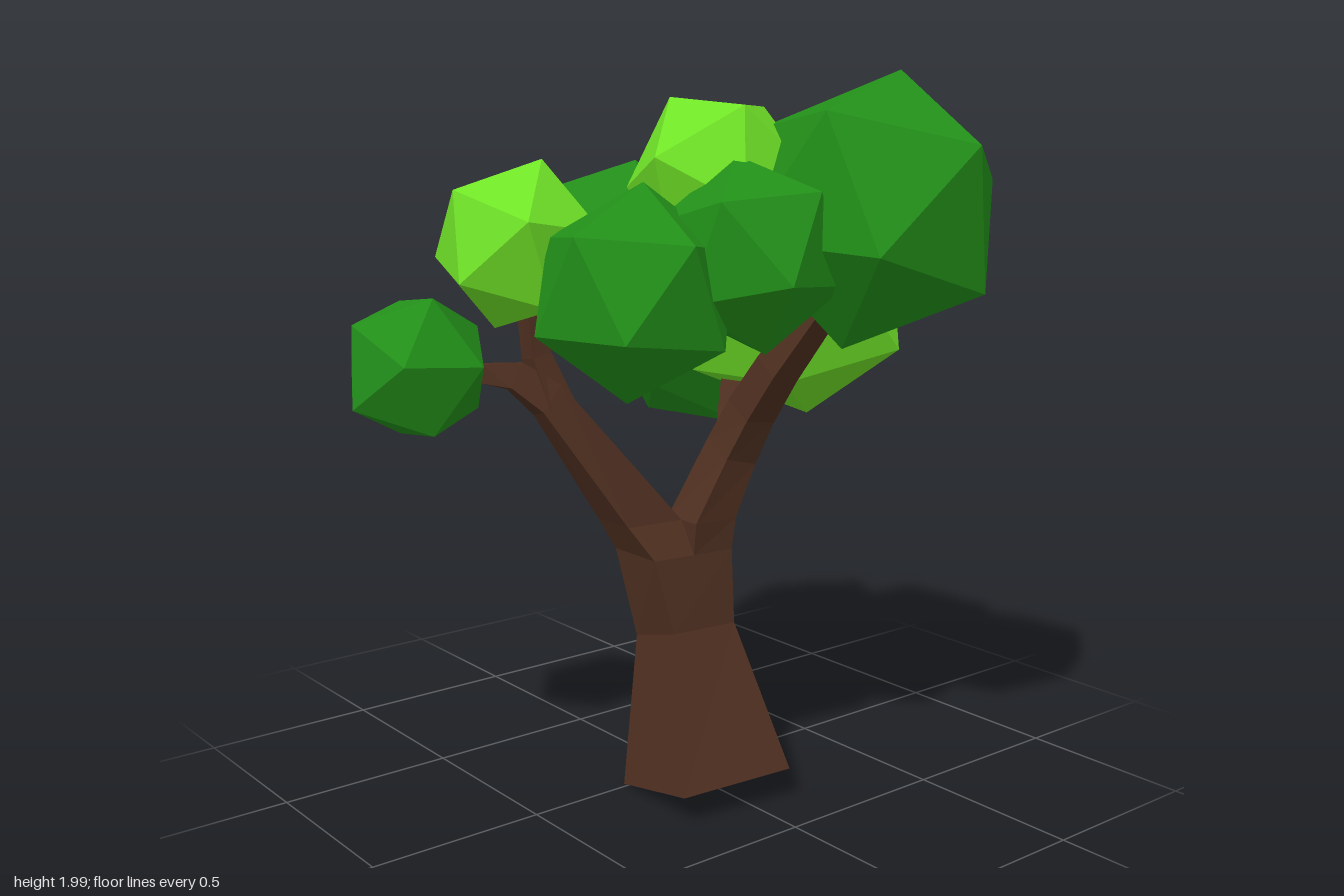
import * as THREE from 'three';

const V = (a) => new THREE.Vector3(...a);
const mat = (color) => new THREE.MeshStandardMaterial({ color, flatShading: true });

// orthonormal frame whose first axis is a and whose second leans towards b
function frame(a, b) {
  const e1 = V(a).normalize();
  const e2 = V(b).addScaledVector(e1, -V(b).dot(e1)).normalize();
  return new THREE.Matrix4().makeBasis(e1, e2, e1.clone().cross(e2));
}

// square ring of four corners around a point, perpendicular to the direction
function ring(center, dir, half) {
  const t = dir.clone().normalize();
  const u = new THREE.Vector3(1, 0, 0).addScaledVector(t, -t.x).normalize();
  const v = t.clone().cross(u);
  return [[-1, -1], [1, -1], [1, 1], [-1, 1]].map(([a, b]) =>
    center.clone().addScaledVector(u, a * half).addScaledVector(v, b * half));
}

// closed four-sided skin through a list of rings
function loft(rings) {
  const pos = [];
  const quad = (a, b, c, d) => [a, b, c, a, c, d].forEach((p) => pos.push(p.x, p.y, p.z));
  for (let r = 0; r < rings.length - 1; r++) {
    const lo = rings[r], hi = rings[r + 1];
    for (let i = 0; i < 4; i++) {
      const j = (i + 1) % 4;
      quad(lo[i], lo[j], hi[j], hi[i]);
    }
  }
  const s = rings[0], e = rings[rings.length - 1];
  quad(s[3], s[2], s[1], s[0]);
  quad(e[0], e[1], e[2], e[3]);
  const g = new THREE.BufferGeometry();
  g.setAttribute('position', new THREE.Float32BufferAttribute(pos, 3));
  g.computeVertexNormals();
  return g;
}

// tapering branch along points [x, y, z, half width], growing out of optional root rings
function branch(path, roots = []) {
  const pts = path.map((p) => V(p.slice(0, 3)));
  const rings = pts.map((p, i) => {
    const dir = pts[Math.min(i + 1, pts.length - 1)].clone().sub(pts[Math.max(i - 1, 0)]);
    return ring(p, dir, path[i][3]);
  });
  return loft([...roots.map((r) => r.map(V)), ...rings]);
}

export function createModel() {
  const model = new THREE.Group();
  model.name = 'tree';
  const bark = mat(0x4e2f20), dark = mat(0x228f19), light = mat(0x70e427);
  const add = (name, geometry, material) => {
    const mesh = new THREE.Mesh(geometry, material);
    mesh.name = name;
    model.add(mesh);
    return mesh;
  };

  // leaning trunk with a tilted, flared foot
  add('trunk', loft([
    [[-0.015, 0, 0.19], [0.31, 0.08, 0.23], [0.355, 0.09, -0.11], [0.01, 0, -0.15]],
    [[-0.03, 0.43, 0.13], [0.14, 0.475, 0.13], [0.16, 0.475, -0.07], [-0.02, 0.43, -0.07]],
    [[-0.08, 0.68, 0.165], [0.1, 0.68, 0.165], [0.13, 0.68, -0.085], [-0.04, 0.68, -0.085]],
  ].map((r) => r.map(V))), bark);

  // fork: each main branch grows from half of the trunk top
  add('frontBranch', branch([
    [-0.12, 1.12, 0.36, 0.046], [-0.16, 1.19, 0.44, 0.038], [-0.2, 1.2, 0.52, 0.025]], [
    [[-0.08, 0.68, 0.165], [0.1, 0.68, 0.165], [0.115, 0.68, 0.04], [-0.06, 0.68, 0.04]],
    [[-0.1, 0.77, 0.21], [0.04, 0.77, 0.21], [0.06, 0.77, 0.04], [-0.06, 0.77, 0.04]]]), bark);
  add('backBranch', branch([
    [0.095, 0.95, -0.11, 0.054], [0.145, 1.07, -0.14, 0.05],
    [0.24, 1.2, -0.15, 0.045], [0.4, 1.42, -0.2, 0.035]], [
    [[-0.06, 0.68, 0.04], [0.115, 0.68, 0.04], [0.13, 0.68, -0.085], [-0.04, 0.68, -0.085]],
    [[0, 0.77, 0.04], [0.125, 0.77, 0.04], [0.135, 0.77, -0.095], [0, 0.77, -0.095]]]), bark);

  // smaller side shoots
  add('frontBranchTip', branch([
    [-0.11, 1.1, 0.34, 0.04], [-0.14, 1.24, 0.38, 0.03], [-0.16, 1.4, 0.39, 0.025]]), bark);
  add('sideBranch', branch([
    [0.11, 0.98, -0.12, 0.045], [0, 1.03, -0.2, 0.036], [-0.19, 1.08, -0.36, 0.03]]), bark);

  // foliage: name, material, centre, radius, a corner direction, a neighbouring corner direction
  const source = frame([0, 1, 1.618], [0, -1, 1.618]).transpose();
  const foliage = [
    ['foliageLargeLeft', dark, [0.44, 1.635, -0.295], 0.376, [-0.01, 0.365, -0.11], [0.33, 0.155, -0.04]],
    ['foliageBack', light, [-0.09, 1.337, -0.5], 0.364, [0, 0.35, 0.07], [0.18, 0.25, -0.25]],
    ['foliageBackRight', dark, [-0.46, 1.207, -0.46], 0.322, [-0.155, 0.275, 0.025], [-0.3, -0.02, -0.06]],
    ['foliageMiddleRight', dark, [-0.255, 1.445, 0.02], 0.325, [-0.29, -0.05, -0.1], [-0.18, 0.23, 0.1]],
    ['foliageFront', dark, [0.222, 1.437, 0.32], 0.28, [0.01, -0.28, 0.035], [0.2, -0.1, 0.18]],
    ['foliageMiddleLeft', dark, [0.365, 1.53, 0.06], 0.257, [0.06, -0.24, 0], [0.235, -0.1, 0.065]],
    ['foliageTop', light, [0.15, 1.71, -0.012], 0.252, [-0.11, 0.22, 0.08], [0.15, 0.2, 0.045]],
    ['foliageFrontRight', light, [-0.16, 1.54, 0.42], 0.237, [0.06, 0.225, -0.04], [-0.05, 0.06, 0.22]],
    ['foliageSmall', dark, [-0.31, 1.215, 0.653], 0.213, [0.09, 0.195, -0.005], [0.01, 0.105, -0.19]],
  ];
  for (const [name, material, center, radius, corner, next] of foliage) {
    const clump = add(name, new THREE.IcosahedronGeometry(radius, 0), material);
    clump.position.set(...center);
    clump.quaternion.setFromRotationMatrix(frame(corner, next).multiply(source));
  }
  return model;
}
